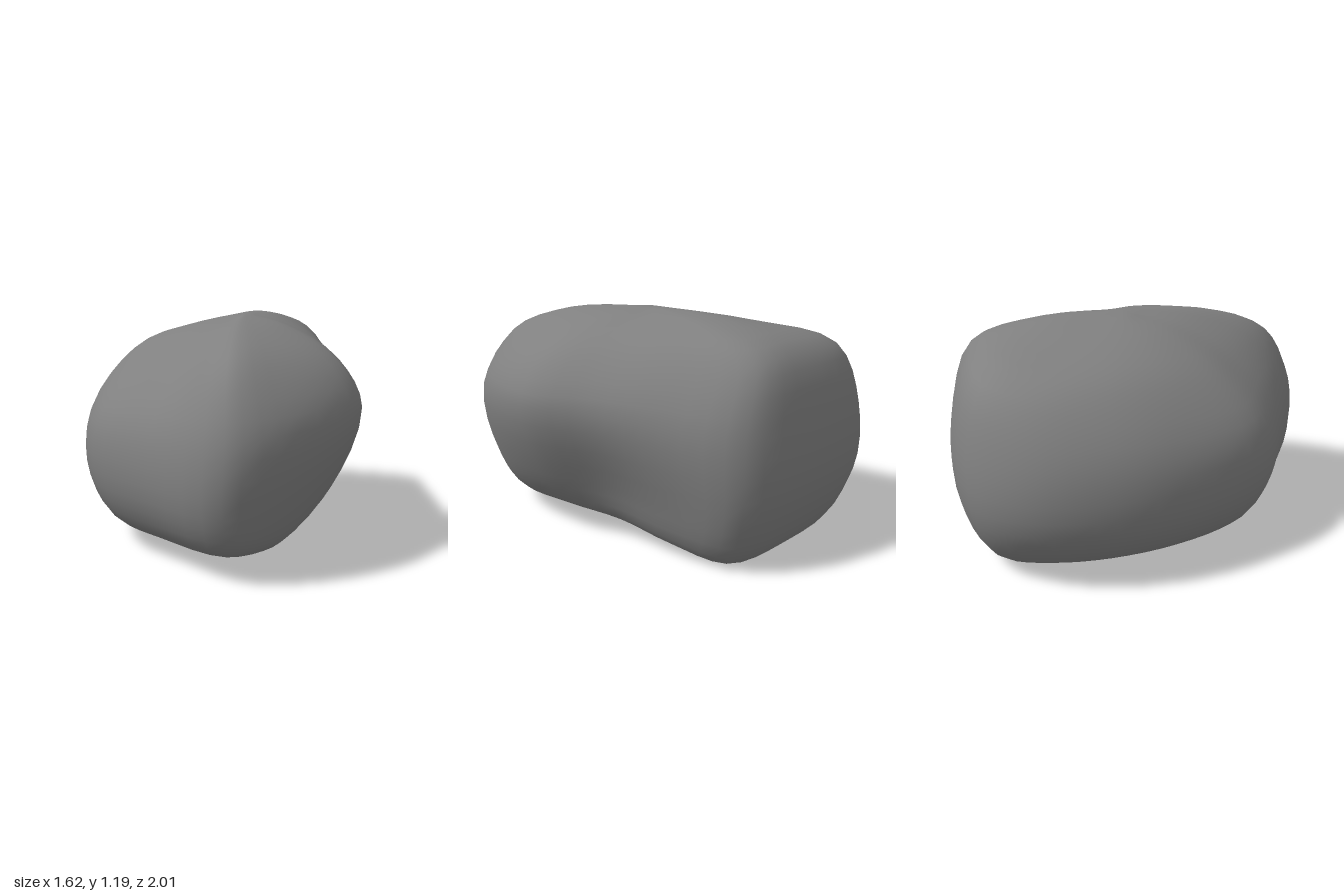
import * as THREE from 'three';

// Outline rings, each starting at the front tip and turning towards +x: [x, y, z]
const foot = [
  [0.30, 0.13, 0.85], [0.46, 0.12, 0.62], [0.48, 0.12, 0.25], [0.43, 0.10, -0.08], [0.44, 0.07, -0.42],
  [0.36, 0.02, -0.72], [0.02, 0.025, -0.80], [-0.40, 0.05, -0.76], [-0.56, 0.09, -0.54], [-0.61, 0.11, -0.25],
  [-0.56, 0.12, 0.10], [-0.39, 0.12, 0.45], [-0.10, 0.12, 0.65],
];
const lowerSide = [
  [0.31, 0.34, 0.975], [0.56, 0.34, 0.73], [0.67, 0.34, 0.25], [0.56, 0.33, -0.10], [0.53, 0.30, -0.50],
  [0.44, 0.30, -0.86], [0.04, 0.32, -0.97], [-0.51, 0.32, -0.91], [-0.73, 0.34, -0.65], [-0.79, 0.34, -0.25],
  [-0.71, 0.34, 0.14], [-0.48, 0.34, 0.56], [-0.10, 0.34, 0.80],
];
const upperSide = [
  [0.33, 0.70, 0.99], [0.61, 0.72, 0.77], [0.81, 0.74, 0.24], [0.71, 0.74, -0.12], [0.60, 0.72, -0.50],
  [0.45, 0.70, -0.88], [0.06, 0.70, -0.985], [-0.49, 0.70, -0.93], [-0.73, 0.68, -0.66], [-0.78, 0.69, -0.25],
  [-0.70, 0.67, 0.13], [-0.48, 0.66, 0.55], [-0.10, 0.68, 0.77],
];
const shoulder = [
  [0.29, 0.99, 0.83], [0.49, 0.99, 0.63], [0.69, 0.97, 0.22], [0.55, 1.01, -0.14], [0.44, 1.02, -0.50],
  [0.32, 1.03, -0.82], [0.02, 1.04, -0.87], [-0.41, 1.01, -0.83], [-0.57, 0.98, -0.62], [-0.58, 0.97, -0.25],
  [-0.48, 0.95, 0.10], [-0.32, 0.92, 0.39], [-0.04, 0.94, 0.55],
];
const crown = [
  [0.22, 1.14, 0.46], [0.32, 1.14, 0.34], [0.40, 1.135, 0.10], [0.33, 1.14, -0.10], [0.28, 1.15, -0.30],
  [0.22, 1.155, -0.50], [0.07, 1.16, -0.54], [-0.15, 1.125, -0.50], [-0.25, 1.105, -0.34], [-0.26, 1.10, -0.15],
  [-0.20, 1.10, 0.03], [-0.10, 1.10, 0.17], [0.06, 1.11, 0.28],
];
const bottomCentre = [0, 0.07, -0.05];
const topCentre = [0.13, 1.19, -0.05];

// Ring halfway between the foot and the middle of the underside
const underside = foot.map((p) => p.map((v, k) => (v + bottomCentre[k]) / 2));

const curve = (points, closed) =>
  new THREE.CatmullRomCurve3(points.map((p) => new THREE.Vector3(...p)), closed);

function rockGeometry(columns = 52, rows = 28) {
  const rings = [underside, foot, lowerSide, upperSide, shoulder, crown].map((ring) => curve(ring, true));

  // Loft: run a smooth curve up through all rings at each column
  const position = [...bottomCentre];
  for (let i = 0; i < columns; i++) {
    const stations = rings.map((ring) => ring.getPoint(i / columns).toArray());
    const rib = curve([bottomCentre, ...stations, topCentre], false);
    for (let j = 1; j < rows; j++) position.push(...rib.getPoint(j / rows).toArray());
  }
  position.push(...topCentre);

  const index = [];
  const top = position.length / 3 - 1;
  const at = (i, j) => 1 + (i % columns) * (rows - 1) + j - 1;
  for (let i = 0; i < columns; i++) {
    index.push(0, at(i + 1, 1), at(i, 1));
    for (let j = 1; j < rows - 1; j++) {
      const a = at(i, j), b = at(i + 1, j), c = at(i + 1, j + 1), d = at(i, j + 1);
      index.push(a, b, c, a, c, d);
    }
    index.push(at(i, rows - 1), at(i + 1, rows - 1), top);
  }

  const geometry = new THREE.BufferGeometry();
  geometry.setAttribute('position', new THREE.Float32BufferAttribute(position, 3));
  geometry.setIndex(index);
  geometry.computeVertexNormals();
  return geometry;
}

export function createModel() {
  const model = new THREE.Group();
  model.name = 'boulder';
  const stone = new THREE.MeshStandardMaterial({ color: 0x808080 });
  stone.name = 'grey stone';
  const rock = new THREE.Mesh(rockGeometry(), stone);
  rock.name = 'rock';
  model.add(rock);
  return model;
}
